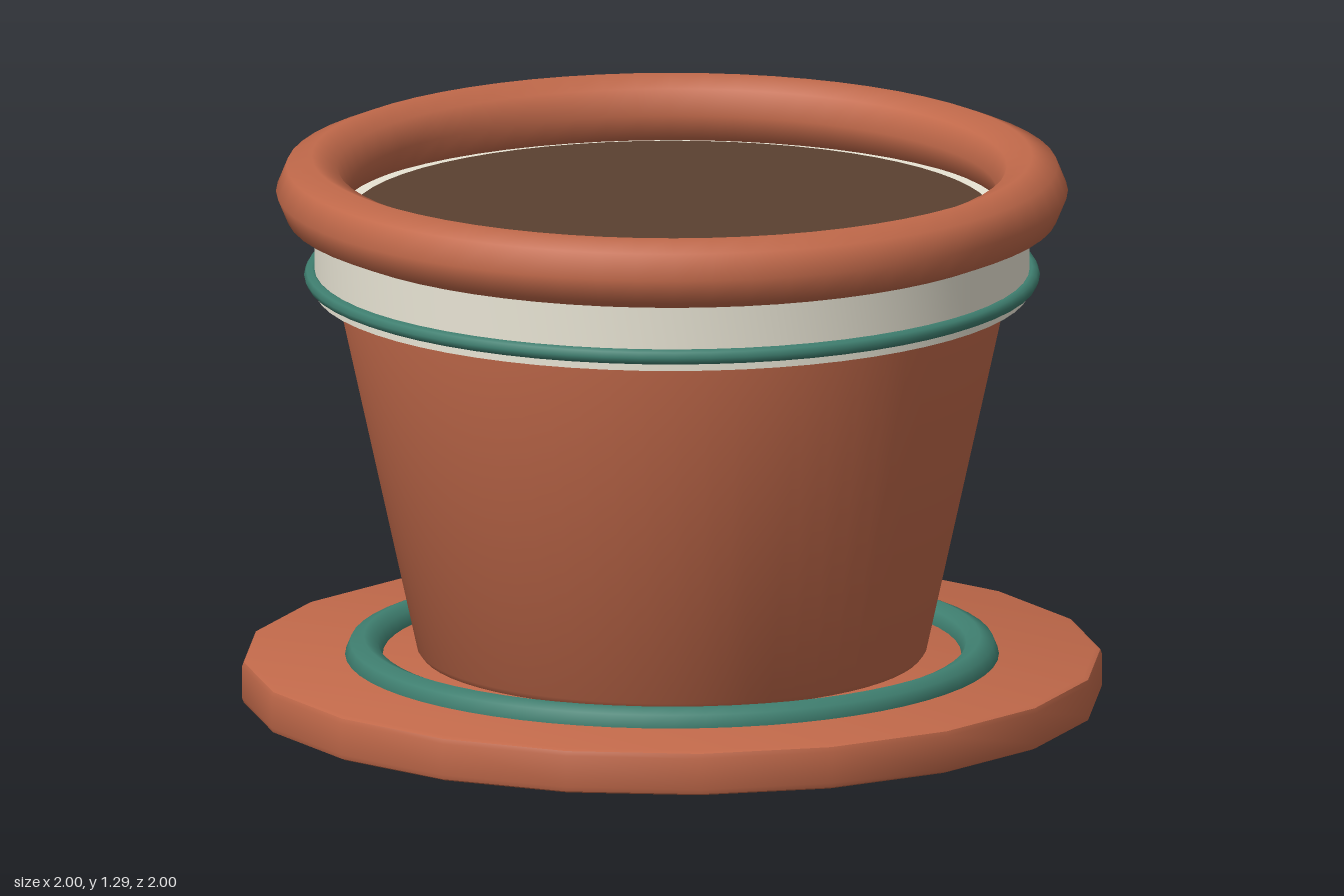
import * as THREE from 'three';
import { toCreasedNormals } from 'three/addons/utils/BufferGeometryUtils.js';

const material = (color) => new THREE.MeshStandardMaterial({ color });

export function createModel() {
  const model = new THREE.Group();
  const terracotta = material(0xc1694a);
  const teal = material(0x3f7f70);
  const cream = material(0xe8e4d4);
  const soilBrown = material(0x5a4030);

  const add = (name, geometry, mat, y = 0) => {
    const mesh = new THREE.Mesh(geometry, mat);
    mesh.name = name;
    mesh.position.y = y;
    model.add(mesh);
    return mesh;
  };

  // Turned solid from [radius, height] pairs, listed bottom to top
  const turned = (name, profile, segments, mat) => {
    const points = profile.map(([r, y]) => new THREE.Vector2(r, y));
    add(name, toCreasedNormals(new THREE.LatheGeometry(points, segments), 0.6), mat);
  };

  // Horizontal ring
  const ring = (name, radius, tube, sides, y, mat) =>
    add(name, new THREE.TorusGeometry(radius, tube, sides, 64).rotateX(-Math.PI / 2), mat, y);

  // Twenty-sided saucer with softened edges
  turned('saucer', [
    [0, 0], [0.985, 0], [0.996, 0.005], [1, 0.016],
    [1, 0.09], [0.996, 0.101], [0.985, 0.106], [0, 0.106],
  ], 20, terracotta);
  ring('saucerRing', 0.715, 0.045, 8, 0.103, teal);

  // Tapered pot with a rounded foot
  turned('pot', [
    [0, 0.107], [0.565, 0.107], [0.582, 0.112], [0.592, 0.125],
    [0.78, 0.98], [0.78, 1.0],
  ], 64, terracotta);

  // Collar under the rim
  turned('collarBand', [[0, 0.975], [0.83, 0.975], [0.83, 1.14], [0, 1.14]], 64, cream);
  ring('collarRing', 0.836, 0.018, 8, 1.01, teal);

  // Thick rolled rim and the soil inside it
  ring('rim', 0.836, 0.083, 8, 1.21, terracotta);
  turned('soil', [[0.748, 1.13], [0.748, 1.152], [0, 1.152]], 64, soilBrown);

  return model;
}
